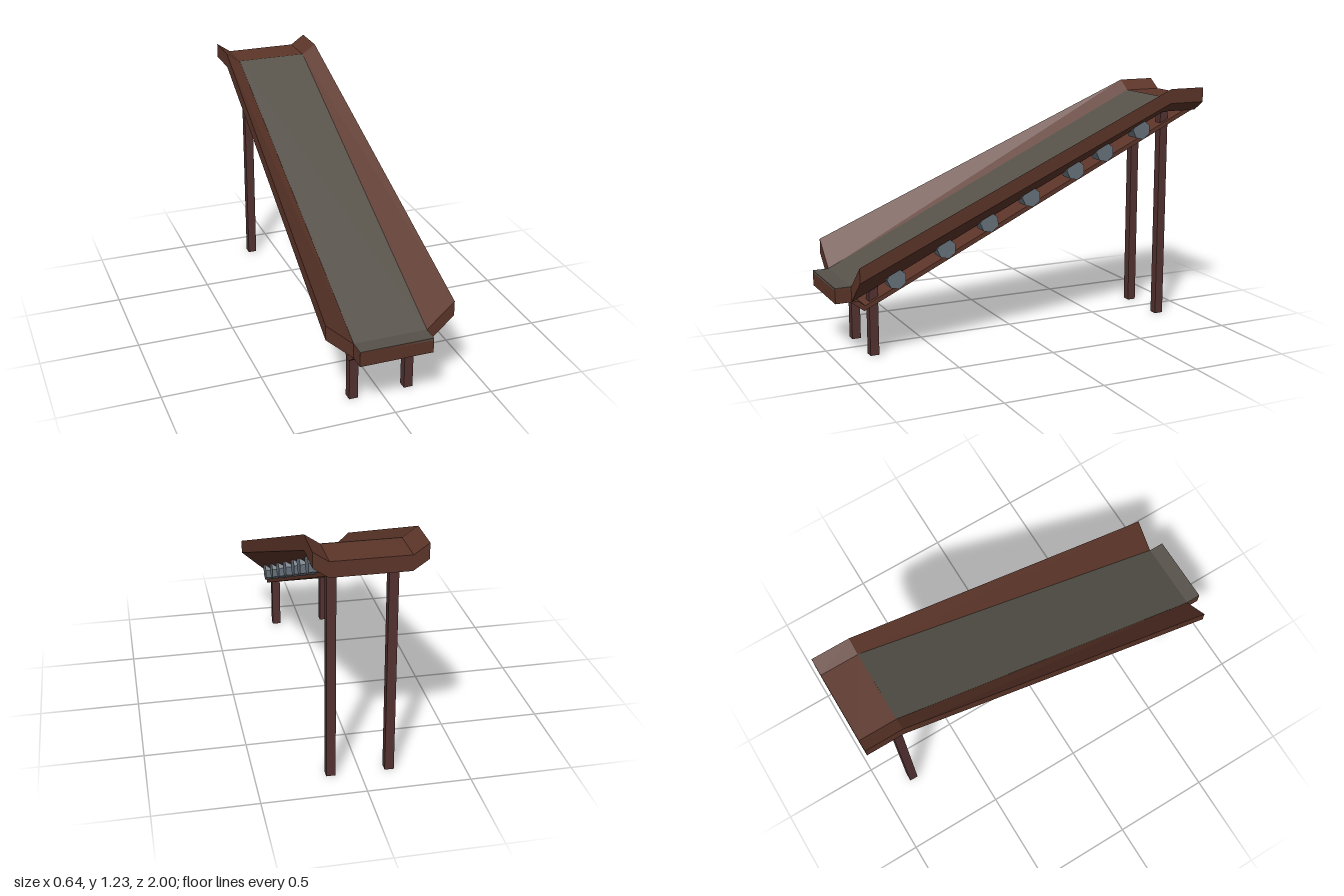
import * as THREE from 'three';

const mat = (color) => new THREE.MeshStandardMaterial({ color, flatShading: true });
const W = 0.183; // half width of the bed
const T = 0.075; // vertical thickness of bed and flanks

// Joins four-cornered rings (counter-clockwise from the front, listed front to back).
function loft(rings) {
  const pos = [];
  const quad = (a, b, c, d) => [a, b, c, a, c, d].forEach((p) => pos.push(...p));
  for (let i = 0; i < rings.length - 1; i++) {
    for (let j = 0; j < 4; j++) {
      const k = (j + 1) % 4;
      quad(rings[i][j], rings[i + 1][j], rings[i + 1][k], rings[i][k]);
    }
  }
  quad(...rings[0]);
  quad(...[...rings[rings.length - 1]].reverse());
  const g = new THREE.BufferGeometry();
  g.setAttribute('position', new THREE.Float32BufferAttribute(pos, 3));
  g.computeVertexNormals();
  return g;
}

// Ring of a flat strip across the bed
const across = (z, bottom, top) => [[-W, bottom, z], [W, bottom, z], [W, top, z], [-W, top, z]];

export function createModel() {
  const model = new THREE.Group();
  const wood = mat(0x5c3529);
  const legWood = mat(0x533231);
  const beltGrey = mat(0x56524a);
  const metal = mat(0x68727c);
  const add = (name, geometry, material, parent = model) => {
    const mesh = new THREE.Mesh(geometry, material);
    mesh.name = name;
    parent.add(mesh);
    return mesh;
  };

  // Bed: short level lip, long slope, level top end (z, underside y)
  const bed = [[1, 0.29], [0.92, 0.29], [-0.805, 1.105], [-1, 1.105]];
  add('bed', loft(bed.map(([z, y]) => across(z, y, y + T))), wood);

  // Grey belt surface on lip and slope
  add('belt', loft(bed.slice(0, 3).map(([z, y]) => across(z, y + T - 0.01, y + T + 0.002))), beltGrey);

  // Flared flanks: z, inner underside y, outer x, outer underside y
  const flank = [[0.92, 0.29, 0.32, 0.415], [-0.805, 1.105, 0.255, 1.155], [-1, 1.105, 0.255, 1.155]];
  for (const s of [1, -1]) {
    const rings = flank.map(([z, yi, xo, yo]) => {
      const r = [[s * W, yi, z], [s * xo, yo, z], [s * xo, yo + T, z], [s * W, yi + T, z]];
      return s > 0 ? r : r.reverse();
    });
    add(s > 0 ? 'leftFlank' : 'rightFlank', loft(rings), wood);
  }

  // Thin plate under the rollers, bent up at the front
  const outline = new THREE.Shape([
    [0.925, 0.29], [0.857, 0.237], [-0.985, 1.107], [-0.935, 1.107], [0.852, 0.264], [0.885, 0.29],
  ].map(([z, y]) => new THREE.Vector2(z, y)));
  const plate = new THREE.ExtrudeGeometry(outline, { depth: 2 * W, bevelEnabled: false });
  plate.rotateY(-Math.PI / 2).translate(W, 0, 0);
  add('underPlate', plate, wood);

  // Rollers: thin axle with a wheel at each end
  const axleGeo = new THREE.CylinderGeometry(0.02, 0.02, 0.3, 6).rotateZ(Math.PI / 2);
  const wheelGeo = new THREE.CylinderGeometry(0.051, 0.051, 0.075, 7).rotateZ(Math.PI / 2);
  for (const z of [0.7, 0.44, 0.21, -0.02, -0.27, -0.44, -0.655]) {
    const roller = new THREE.Group();
    roller.name = 'roller';
    roller.position.set(0, 0.714 - 0.47 * z, z);
    add('axle', axleGeo, metal, roller);
    for (const s of [1, -1]) add('wheel', wheelGeo, metal, roller).position.x = s * 0.18;
    model.add(roller);
  }

  // Legs
  for (const [name, z, h] of [['frontLeg', 0.803, 0.36], ['backLeg', -0.822, 1.11]]) {
    for (const s of [1, -1]) {
      add(name, new THREE.BoxGeometry(0.045, h, 0.045), legWood).position.set(s * 0.142, h / 2, z);
    }
  }
  return model;
}
